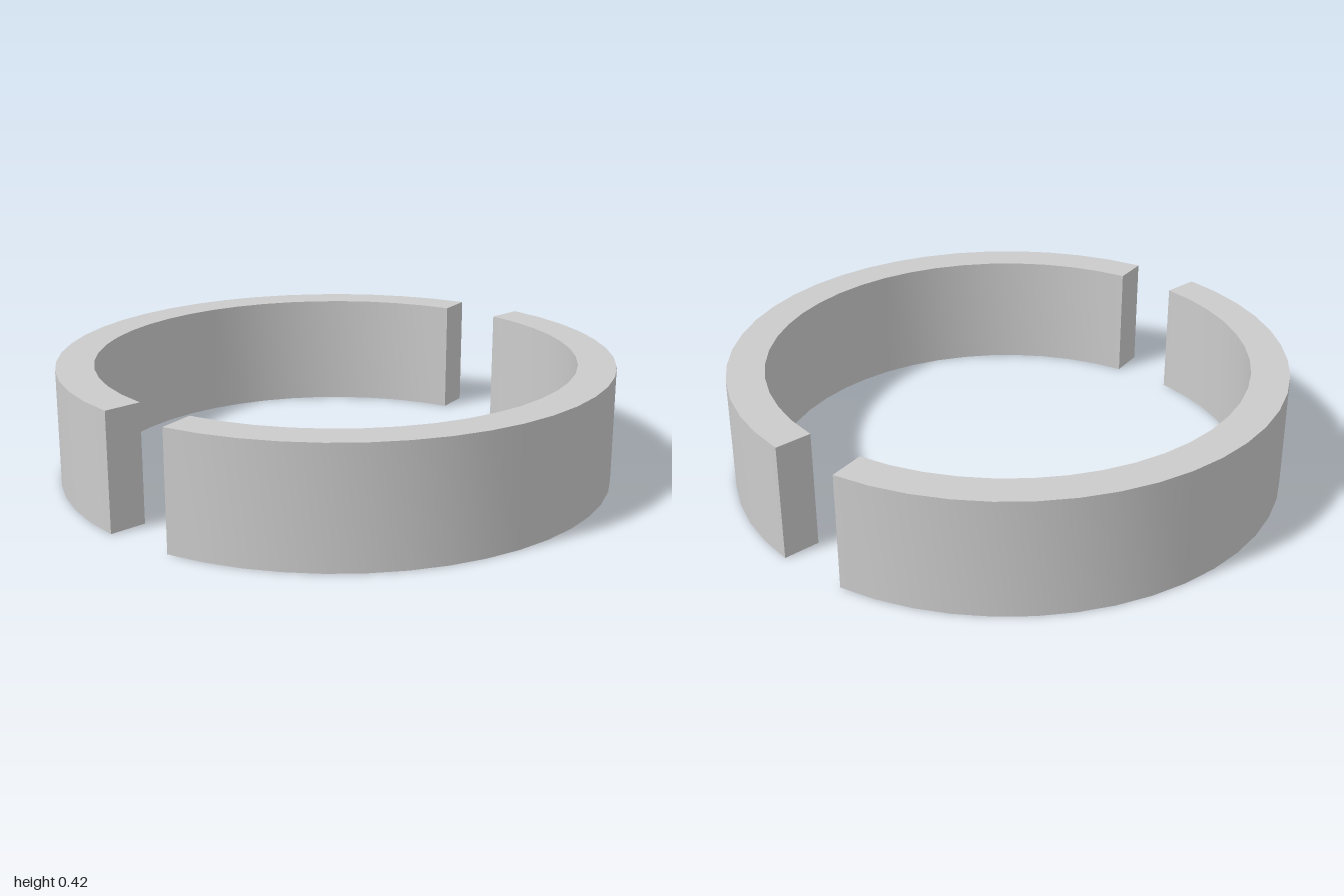
import * as THREE from 'three';
import { toCreasedNormals } from 'three/addons/utils/BufferGeometryUtils.js';

const OUTER = 1, INNER = 0.865, HEIGHT = 0.42;
const STEPS = 22, STEP = THREE.MathUtils.degToRad(7.5);

// Points along an arc that leaves a 7.5 degree gap at each end of the half circle
function arc(radius) {
  return Array.from({ length: STEPS + 1 }, (_, i) => {
    const a = STEP * (i + 1);
    return new THREE.Vector2(radius * Math.cos(a), radius * Math.sin(a));
  });
}

export function createModel() {
  const group = new THREE.Group();
  group.name = 'splitRing';
  const material = new THREE.MeshStandardMaterial({ color: 0xcccccc });

  // Half ring: flat section extruded upward, smooth walls with sharp rims
  const shape = new THREE.Shape([...arc(OUTER), ...arc(INNER).reverse()]);
  const extruded = new THREE.ExtrudeGeometry(shape, { depth: HEIGHT, bevelEnabled: false });
  extruded.rotateX(-Math.PI / 2);
  const geometry = toCreasedNormals(extruded, 0.5);

  // Back half, and the front half turned around
  ['backHalfRing', 'frontHalfRing'].forEach((name, i) => {
    const half = new THREE.Mesh(geometry, material);
    half.name = name;
    half.rotation.y = i * Math.PI;
    group.add(half);
  });
  return group;
}
